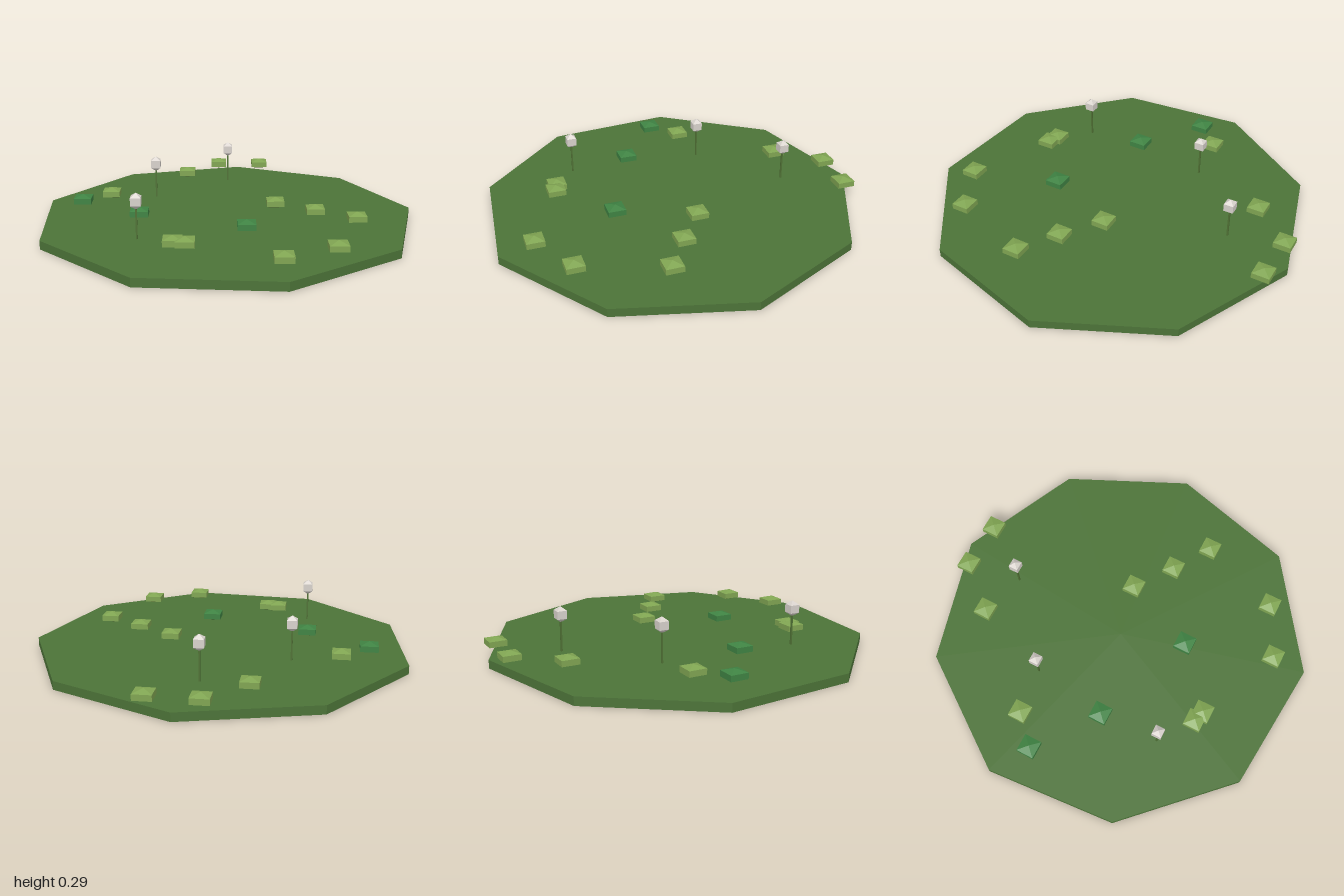
import * as THREE from 'three';

const material = (color) => new THREE.MeshStandardMaterial({ color, flatShading: true });

export function createModel() {
  const model = new THREE.Group();
  const grass = material(0x4c7338);
  const lightLeaf = material(0x80a552);
  const darkLeaf = material(0x3f8343);
  const stemGreen = material(0x4f7034);
  const petal = material(0xd8d2cc);

  const add = (parent, name, geometry, mat, x, y, z) => {
    const mesh = new THREE.Mesh(geometry, mat);
    mesh.name = name;
    mesh.position.set(x, y, z);
    parent.add(mesh);
    return mesh;
  };

  // Nine-sided ground slab with one corner pointing to the back
  const slab = new THREE.CylinderGeometry(1.015, 1.015, 0.045, 9, 1, false, Math.PI);
  add(model, 'ground', slab, grass, 0, 0.0225, 0.031);

  // Flattened four-sided grass tufts
  const tuft = new THREE.SphereGeometry(0.077, 4, 3).scale(1, 0.4, 1);
  const lightTufts = [
    [-0.5, -0.785], [-0.69, -0.61], [-0.67, -0.315], [0.15, -0.2],
    [0.395, -0.24], [0.63, -0.29], [0.83, 0.13], [0.74, 0.415],
    [0.275, 0.59], [0.22, 0.62], [-0.64, 0.3],
  ];
  const darkTufts = [[0.31, 0.2], [-0.24, 0.435], [-0.645, 0.495]];
  for (const [x, z] of lightTufts) add(model, 'lightTuft', tuft, lightLeaf, x, 0.091, z);
  for (const [x, z] of darkTufts) add(model, 'darkTuft', tuft, darkLeaf, x, 0.091, z);

  // Flowers: a thin stem carrying a faceted head
  const stem = new THREE.CylinderGeometry(0.006, 0.006, 0.19, 4);
  const head = new THREE.SphereGeometry(0.042, 4, 3);
  for (const [x, z] of [[-0.447, -0.443], [-0.485, 0.102], [0, 0.655]]) {
    const flower = new THREE.Group();
    flower.name = 'flower';
    flower.position.set(x, 0, z);
    add(flower, 'stem', stem, stemGreen, 0, 0.151, 0);
    add(flower, 'flowerHead', head, petal, 0, 0.25, 0);
    model.add(flower);
  }
  return model;
}
